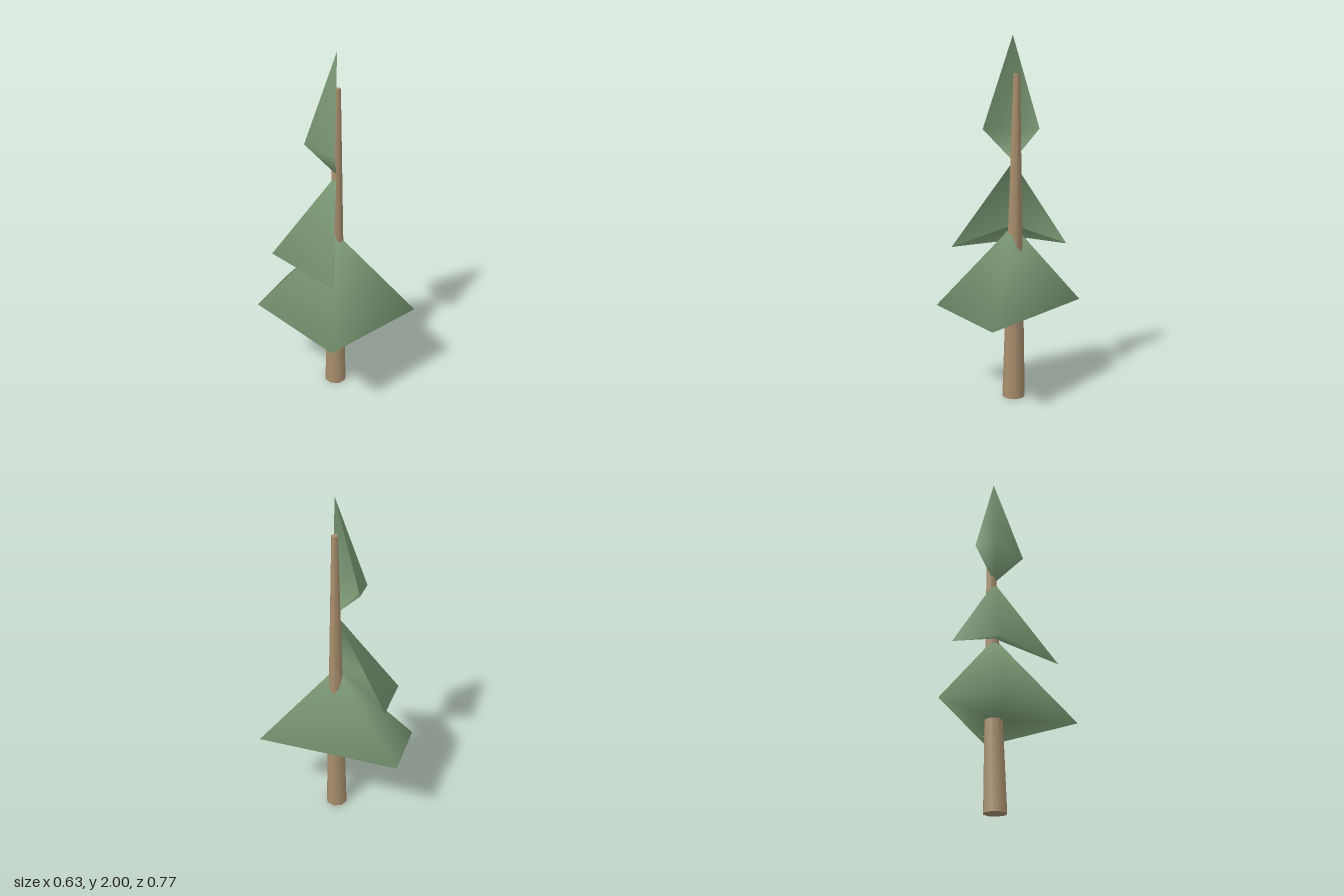
import * as THREE from 'three';

const CENTRE_Z = 0.065;

// Fan of sloping faces from a rim to an apex above and a centre point below
function makeTier(apexY, rimY, underY, rim, closed) {
  const points = [[0, apexY, CENTRE_Z], [0, underY, CENTRE_Z], ...rim.map(([x, z]) => [x, rimY, z])];
  const index = [];
  const count = closed ? rim.length : rim.length - 1;
  for (let i = 0; i < count; i++) {
    const a = 2 + i, b = 2 + (i + 1) % rim.length;
    index.push(0, a, b, 1, b, a);
  }
  const geometry = new THREE.BufferGeometry();
  geometry.setAttribute('position', new THREE.Float32BufferAttribute(points.flat(), 3));
  geometry.setIndex(index);
  geometry.computeVertexNormals();
  return geometry;
}

export function createModel() {
  const tree = new THREE.Group();
  tree.name = 'pineTree';
  const bark = new THREE.MeshStandardMaterial({ color: 0xa98f6e });
  bark.name = 'bark brown';
  const needles = new THREE.MeshStandardMaterial({ color: 0x7c9a75, side: THREE.DoubleSide });
  needles.name = 'needle green';

  const add = (name, geometry, material) => {
    const mesh = new THREE.Mesh(geometry, material);
    mesh.name = name;
    tree.add(mesh);
    return mesh;
  };

  // Tapered trunk, sheared so that it leans slightly
  const trunk = new THREE.CylinderGeometry(0.018, 0.064, 1.8, 8, 1);
  trunk.rotateY(Math.PI / 8);
  trunk.translate(0, 0.9, 0);
  const shear = new THREE.Matrix4().set(
    1, 0.0095, 0, 0,
    0, 1, 0, 0,
    0, -0.0075, 1, CENTRE_Z,
    0, 0, 0, 1);
  trunk.applyMatrix4(shear);
  add('trunk', trunk, bark);

  // Thin bare twig
  const from = new THREE.Vector3(0.04, 0.415, 0.08);
  const to = new THREE.Vector3(0.17, 0.47, 0.13);
  const twig = add('twig', new THREE.ConeGeometry(0.006, from.distanceTo(to), 4), bark);
  twig.position.copy(from).lerp(to, 0.5);
  twig.quaternion.setFromUnitVectors(new THREE.Vector3(0, 1, 0), to.clone().sub(from).normalize());

  // Foliage: a full lower skirt and two open half skirts
  add('lowerFoliage', makeTier(0.98, 0.5, 0.5,
    [[0, -0.385], [-0.318, -0.253], [-0.318, 0.382], [0.317, 0.382]], true), needles);
  add('middleFoliage', makeTier(1.33, 0.84, 0.98,
    [[0, -0.29], [-0.252, -0.187], [-0.252, 0.316]], false), needles);
  add('topFoliage', makeTier(2, 1.5, 1.33,
    [[0, -0.105], [-0.12, -0.055], [-0.12, 0.185]], false), needles);

  return tree;
}
